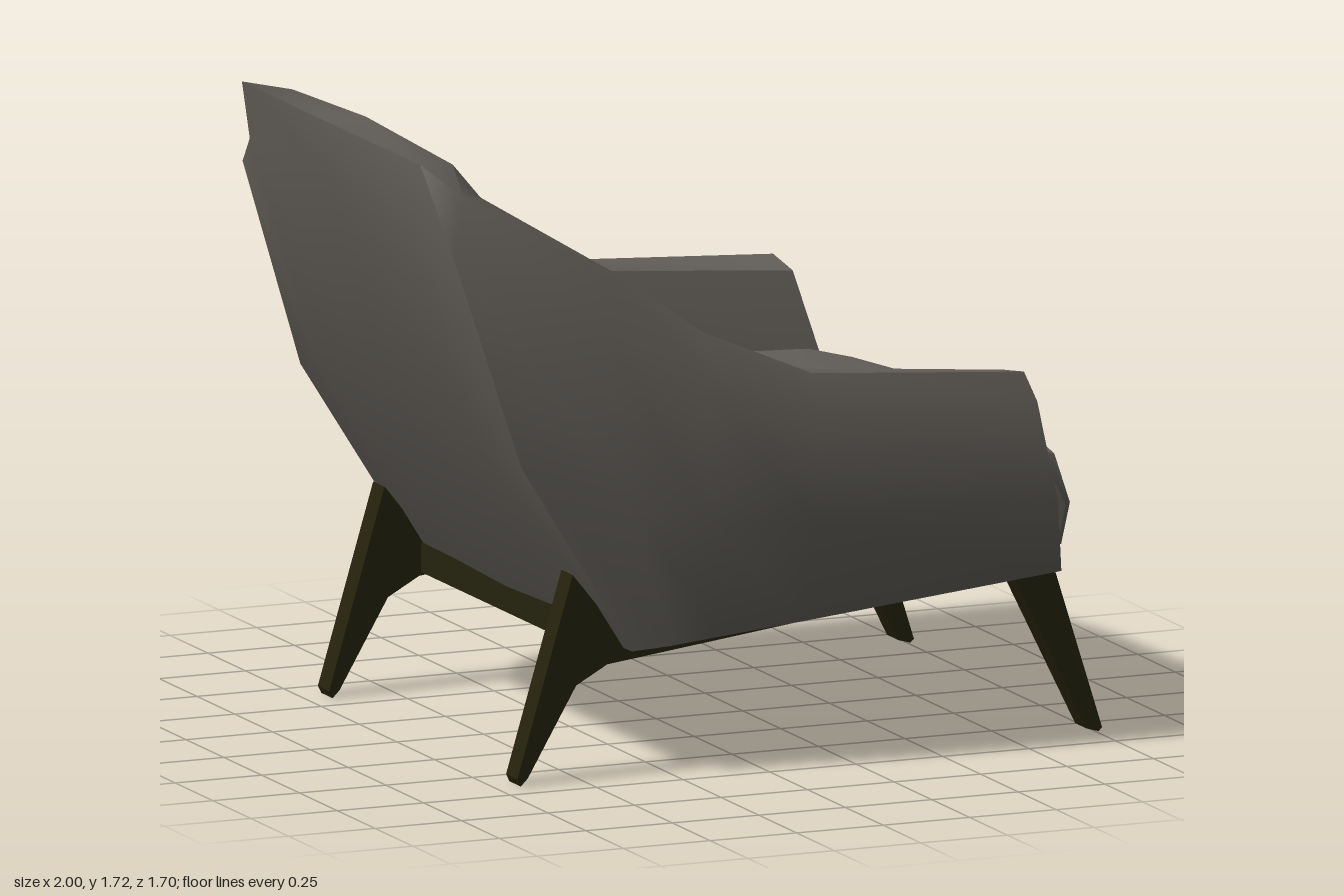
import * as THREE from 'three';
import { toCreasedNormals } from 'three/addons/utils/BufferGeometryUtils.js';

const fabric = new THREE.MeshStandardMaterial({ color: 0x66625c });
fabric.name = 'greyFabric';
const wood = new THREE.MeshStandardMaterial({ color: 0x25230d });
wood.name = 'darkWood';

// Height of the sloping underside at a given x
const underside = (x) => 0.39 + 0.108 * x;

// Skins a row of closed cross-sections and caps both ends
function loft(sections, crease) {
  const n = sections[0].length;
  const last = (sections.length - 1) * n;
  const index = [];
  for (let i = 0; i < sections.length - 1; i++) {
    for (let j = 0; j < n; j++) {
      const k = (j + 1) % n;
      const a = i * n + j, d = i * n + k, b = a + n, c = d + n;
      index.push(a, d, c, a, c, b);
    }
  }
  for (let j = 1; j < n - 1; j++) {
    index.push(0, j + 1, j, last, last + j, last + j + 1);
  }
  const geo = new THREE.BufferGeometry();
  geo.setAttribute('position', new THREE.Float32BufferAttribute(sections.flat(2), 3));
  geo.setIndex(index);
  return toCreasedNormals(geo, crease);
}

// Adds the mirrored half; the last section lies on the centre plane
function mirrorSections(half) {
  const other = half.slice(0, -1).reverse().map((s) => s.map(([x, y, z]) => [x, y, -z]));
  return [...half, ...other];
}

function add(parent, name, geometry, material) {
  const mesh = new THREE.Mesh(geometry, material);
  mesh.name = name;
  parent.add(mesh);
  return mesh;
}

// Wraparound arms and back: rails run from the arm front to the middle of the back
function shellGeometry() {
  const bottom = [[0.83, 0.48, 0.78], [0.1, 0.4, 0.75], [-0.15, 0.375, 0.74],
    [-0.28, 0.36, 0.73], [-0.38, 0.35, 0.71], [-0.39, 0.35, 0.55], [-0.4, 0.35, 0]];
  const belly = [[0.79, 0.68, 0.85], [0.1, 0.68, 0.83], [-0.2, 0.7, 0.82],
    [-0.42, 0.77, 0.79], [-0.71, 0.88, 0.73], [-0.745, 0.91, 0.5], [-0.77, 0.95, 0]];
  const shoulder = [[0.73, 0.96, 0.85], [0.1, 1.0, 0.83], [-0.2, 1.09, 0.81],
    [-0.48, 1.23, 0.77], [-0.89, 1.45, 0.7], [-0.945, 1.53, 0.52], [-0.98, 1.6, 0]];
  const top = [[0.7, 1.04, 0.83], [0.1, 1.08, 0.8], [-0.2, 1.21, 0.76],
    [-0.45, 1.39, 0.73], [-0.85, 1.61, 0.67], [-0.94, 1.69, 0.59], [-1, 1.72, 0]];
  const innerTop = [[0.7, 1.02, 0.7], [0.12, 1.07, 0.68], [-0.2, 1.2, 0.65],
    [-0.45, 1.37, 0.62], [-0.77, 1.59, 0.6], [-0.82, 1.67, 0.53], [-0.84, 1.7, 0]];
  const innerLow = [[0.75, 0.8, 0.63], [0.05, 0.84, 0.56], [-0.2, 0.84, 0.55],
    [-0.36, 0.85, 0.55], [-0.42, 0.86, 0.545], [-0.44, 0.86, 0.5], [-0.44, 0.86, 0]];
  const innerBottom = innerLow.map(([x, , z], i) => {
    const px = i === 0 ? 0.82 : Math.max(x, -0.3);
    return [px, underside(px), z];
  });
  const rails = [bottom, belly, shoulder, top, innerTop, innerLow, innerBottom];
  return loft(mirrorSections(bottom.map((_, i) => rails.map((r) => r[i]))), 0.75);
}

// Seat cushion: one side profile, softened towards both ends
function cushionGeometry() {
  const profile = [[-0.5, 0.86], [0.2, 0.865], [0.76, 0.84], [0.92, 0.785], [0.965, 0.63],
    [0.94, 0.52], [0.82, 0.48], [-0.36, 0.36]];
  const section = (z, pull, drop) => profile.map(([x, y]) =>
    [x > 0.7 ? x - pull : x, y > 0.7 ? y - drop : y, z]);
  const half = [section(0.66, 0.07, 0.06), section(0.63, 0.045, 0.02),
    section(0.4, 0.02, 0), section(0, 0, 0)];
  return loft(mirrorSections(half), 0.7);
}

function extrudeXY(points, depth) {
  const shape = new THREE.Shape(points.map(([x, y]) => new THREE.Vector2(x, y)));
  return new THREE.ExtrudeGeometry(shape, { depth, bevelEnabled: false });
}

export function createModel() {
  const chair = new THREE.Group();
  chair.name = 'armchair';
  add(chair, 'armsAndBack', shellGeometry(), fabric);
  add(chair, 'seatCushion', cushionGeometry(), fabric);

  // Wooden frame: splayed legs and a sloping rail on each side
  const frame = new THREE.Group();
  frame.name = 'frame';
  chair.add(frame);
  const parts = {
    frontLeg: [[0.74, 0.455], [0.76, 0.5], [0.85, 0.5], [1.0, 0.02], [0.99, 0.01], [0.955, 0.02]],
    rearLeg: [[-0.53, 0.56], [-0.37, 0.36], [-0.36, 0.32], [-0.43, 0.31], [-0.52, 0.26],
      [-0.66, 0.02], [-0.68, 0], [-0.69, 0.02]],
    sideRail: [[-0.43, 0.31], [-0.4, 0.38], [0.8, 0.5], [0.8, 0.462]],
  };
  const width = 0.075;
  for (const [side, z] of [['left', 0.585], ['right', -0.585 - width]]) {
    for (const [name, points] of Object.entries(parts)) {
      const label = side + name[0].toUpperCase() + name.slice(1);
      add(frame, label, extrudeXY(points, width), wood).position.z = z;
    }
  }

  // Cross rails joining the two sides
  const frontRail = add(frame, 'frontRail', new THREE.BoxGeometry(0.05, 0.07, 1.2), wood);
  frontRail.position.set(0.82, 0.457, 0);
  const rearRail = add(frame, 'rearRail', new THREE.BoxGeometry(0.05, 0.08, 1.2), wood);
  rearRail.position.set(-0.4, 0.36, 0);
  return chair;
}
